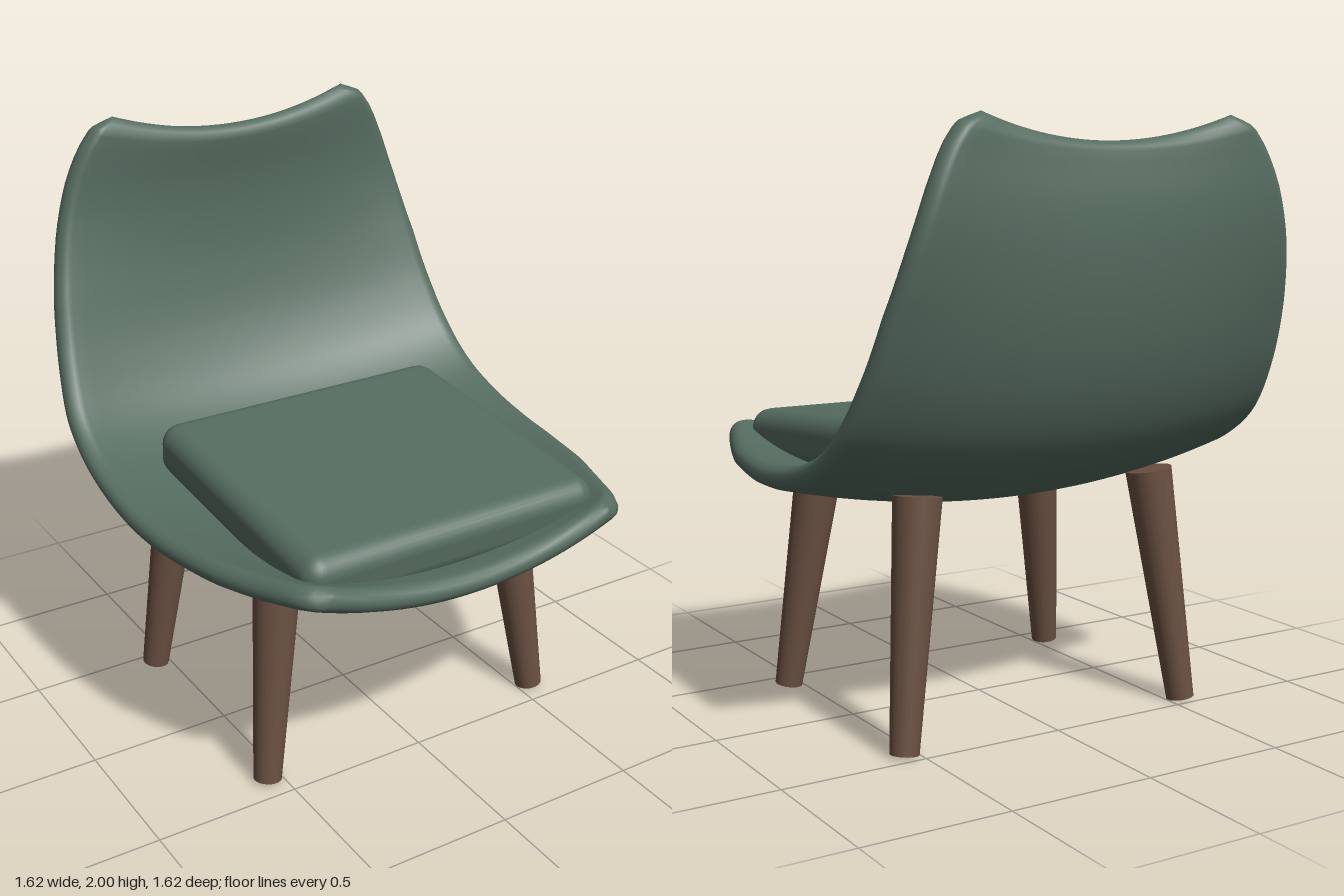
import * as THREE from 'three';
import { mergeVertices } from 'three/addons/utils/BufferGeometryUtils.js';
import { RoundedBoxGeometry } from 'three/addons/geometries/RoundedBoxGeometry.js';

const V = (x, y, z) => new THREE.Vector3(x, y, z);

// Shell stations from front lip to back top: z, y, half width, side lift, centre dip
const STATIONS = [
  [0.81, 0.79, 0.53, 0.115, 0], [0.76, 0.783, 0.605, 0.115, 0], [0.6, 0.765, 0.675, 0.11, 0],
  [0.4, 0.75, 0.745, 0.11, 0], [0.15, 0.742, 0.79, 0.11, 0], [-0.05, 0.752, 0.805, 0.11, 0],
  [-0.25, 0.79, 0.81, 0.11, 0], [-0.42, 0.86, 0.81, 0.105, 0], [-0.57, 0.98, 0.805, 0.1, 0],
  [-0.68, 1.17, 0.78, 0.085, 0], [-0.745, 1.4, 0.745, 0.055, 0], [-0.768, 1.62, 0.695, 0.015, 0.02],
  [-0.766, 1.78, 0.645, -0.005, 0.045], [-0.752, 1.9, 0.59, -0.015, 0.065],
  [-0.743, 1.97, 0.535, -0.02, 0.076], [-0.74, 2.0, 0.46, -0.02, 0.08],
];

function shellGeometry() {
  const path = new THREE.CatmullRomCurve3(STATIONS.map(([z, y]) => V(0, y, z)));
  const shape = new THREE.CatmullRomCurve3(STATIONS.map(([, , w, lift, dip]) => V(w, lift, dip)));
  const length = path.getLength();
  const HALF = 0.041, RIM = 0.045;

  // Middle surface: u runs across (-1..1), s is the distance along the profile
  const middle = (u, s) => {
    const t = path.getUtoTmapping(THREE.MathUtils.clamp(s / length, 0, 1));
    const p = path.getPoint(t), tan = path.getTangent(t), f = shape.getPoint(t);
    const lift = f.y * u * u;
    return V(f.x * u, p.y - tan.z * lift - f.z * (1 - u * u), p.z + tan.y * lift);
  };
  const round = (d) => Math.sqrt(Math.max(0, 1 - (1 - Math.min(d / RIM, 1)) ** 2));

  // Samples from 0 to total, crowded near both ends for the rounded rim
  const samples = (total, n) => {
    const ends = [0, 0.08, 0.3, 0.62].map((k) => k * RIM), list = [...ends];
    for (let i = 0; i <= n; i++) list.push(RIM + (total - 2 * RIM) * i / n);
    return list.concat(ends.map((e) => total - e).reverse());
  };
  const WIDTH = 1.5;
  const across = samples(WIDTH, 28), along = samples(length, 56);
  const nu = across.length, ns = along.length, pos = [], idx = [];

  for (const side of [1, -1]) {
    const base = pos.length / 3;
    along.forEach((s, j) => across.forEach((a, i) => {
      const u = 2 * a / WIDTH - 1, e = 0.004;
      const du = middle(Math.min(u + e, 1), s).sub(middle(Math.max(u - e, -1), s));
      const ds = middle(u, Math.min(s + e, length)).sub(middle(u, Math.max(s - e, 0)));
      const h = HALF * round(Math.min(a, WIDTH - a)) * round(Math.min(s, length - s));
      const p = middle(u, s).addScaledVector(du.cross(ds).normalize(), side * h);
      pos.push(p.x, p.y, p.z);
      if (i === nu - 1 || j === ns - 1) return;
      const q = base + j * nu + i, r = q + nu;
      if (side > 0) idx.push(q, q + 1, r, q + 1, r + 1, r);
      else idx.push(q, r, q + 1, q + 1, r, r + 1);
    }));
  }
  const g = new THREE.BufferGeometry();
  g.setAttribute('position', new THREE.Float32BufferAttribute(pos, 3));
  g.setIndex(idx);
  const welded = mergeVertices(g, 1e-5);
  welded.computeVertexNormals();
  return welded;
}

export function createModel() {
  const fabric = new THREE.MeshStandardMaterial({ color: 0x566c60 });
  fabric.name = 'greenFabric';
  const wood = new THREE.MeshStandardMaterial({ color: 0x6a5042 });
  wood.name = 'brownWood';

  const chair = new THREE.Group();
  chair.name = 'chair';
  const add = (name, geometry, material) => {
    const mesh = new THREE.Mesh(geometry, material);
    mesh.name = name;
    chair.add(mesh);
    return mesh;
  };

  // One-piece curved seat and back
  add('shell', shellGeometry(), fabric);

  // Loose seat cushion, rising slightly to the back
  const cushion = add('cushion', new RoundedBoxGeometry(1.12, 0.19, 1.04, 3, 0.07), fabric);
  cushion.position.set(0, 0.91, 0.19);
  cushion.rotation.x = 0.08;

  // Tapered, splayed legs
  const leg = (name, top, foot) => {
    const axis = top.clone().sub(foot);
    const mesh = add(name, new THREE.CylinderGeometry(0.08, 0.048, axis.length(), 24), wood);
    mesh.position.copy(top).add(foot).multiplyScalar(0.5);
    mesh.quaternion.setFromUnitVectors(V(0, 1, 0), axis.normalize());
  };
  for (const [side, x] of [['left', 1], ['right', -1]]) {
    leg(side + 'FrontLeg', V(0.46 * x, 0.745, 0.337), V(0.55 * x, 0.008, 0.405));
    leg(side + 'BackLeg', V(0.455 * x, 0.815, -0.372), V(0.55 * x, 0.008, -0.448));
  }
  return chair;
}
